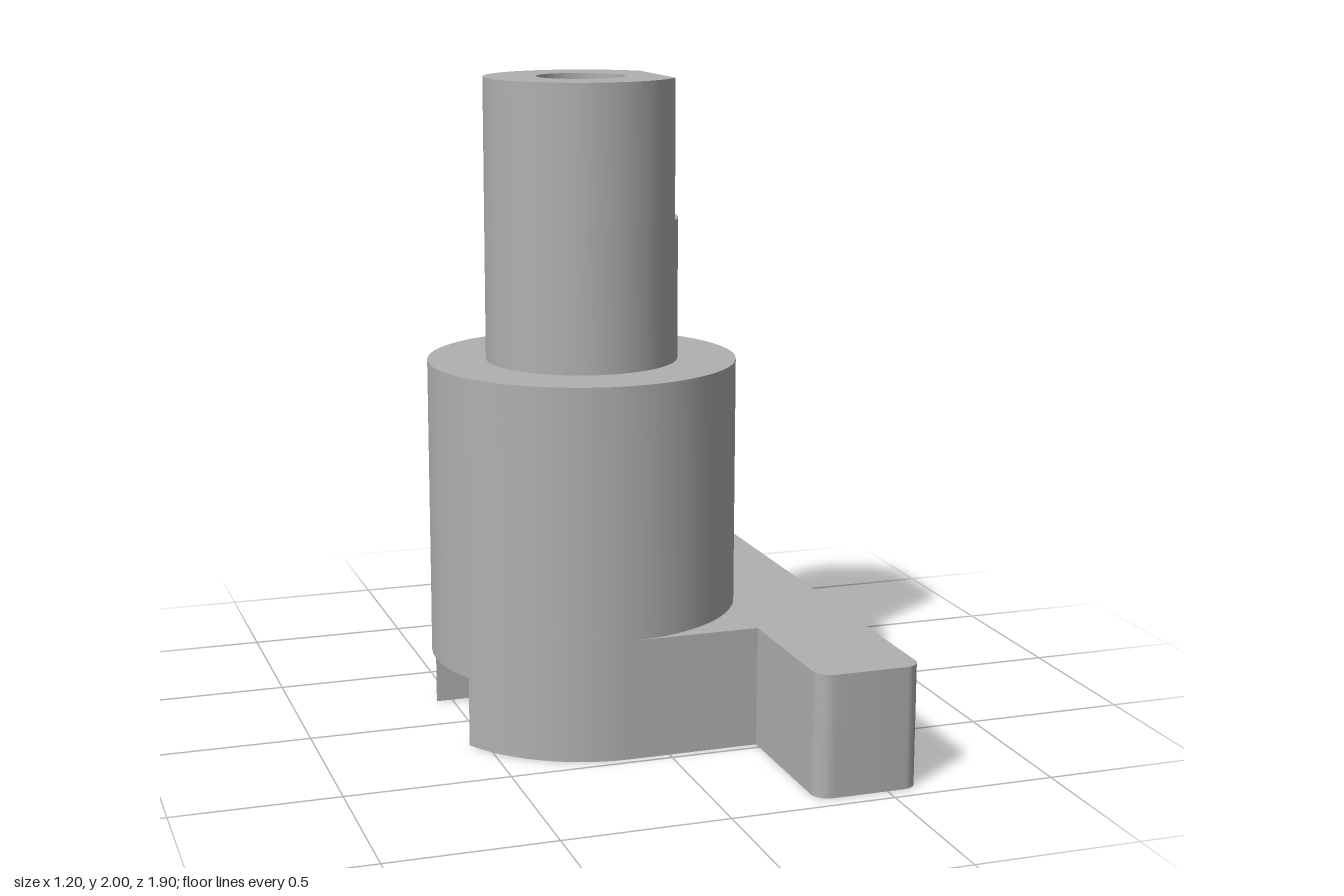
import * as THREE from 'three';
import { toCreasedNormals } from 'three/addons/utils/BufferGeometryUtils.js';

const CX = -0.125;          // axis of the turned part
const BODY_R = 0.475, SHAFT_R = 0.295, BORE_R = 0.135;
const BASE_TOP = 0.37, SLOT_TOP = 0.215, SLOT_HALF = 0.21;
const SHOULDER = 1.14, FLAT_Y = 1.575, TOP = 2, FLAT_X = 0.12;

const metal = new THREE.MeshStandardMaterial({ color: 0xb0b0b0 });
metal.name = 'grey metal';

function part(name, geometry) {
  const mesh = new THREE.Mesh(toCreasedNormals(geometry, 0.6), metal);
  mesh.name = name;
  return mesh;
}

// Extrude a plan outline upwards from y0 to y1
function slab(shape, y0, y1) {
  const g = new THREE.ExtrudeGeometry(shape, { depth: y1 - y0, bevelEnabled: false, curveSegments: 96 });
  return g.rotateX(-Math.PI / 2).translate(0, y0, 0);
}

// One half of the base outline, from depth 'inner' out to the bar's end
function halfOutline(inner) {
  const r = 0.05, end = 0.95, x0 = 0.28, x1 = 0.6;
  const s = new THREE.Shape();
  s.moveTo(x1, inner);
  s.lineTo(x1, end - r);
  s.absarc(x1 - r, end - r, r, 0, Math.PI / 2, false);
  s.lineTo(x0 + r, end);
  s.absarc(x0 + r, end - r, r, Math.PI / 2, Math.PI, false);
  s.lineTo(x0, BODY_R);
  s.lineTo(CX, BODY_R);
  s.absarc(CX, 0, BODY_R, Math.PI / 2, Math.PI - Math.asin(inner / BODY_R), false);
  return s.getPoints(32);
}
const mirror = (pts) => pts.map((p) => new THREE.Vector2(p.x, -p.y)).reverse();

export function createModel() {
  const group = new THREE.Group();
  group.name = 'slottedShaft';

  // T-shaped base above the slot, and the two feet beside it
  const half = halfOutline(0);
  const outline = [...half, ...mirror(half).slice(1, -1)];
  group.add(part('basePlate', slab(new THREE.Shape(outline), SLOT_TOP, BASE_TOP)));
  const foot = halfOutline(SLOT_HALF);
  group.add(part('backFoot', slab(new THREE.Shape(foot), 0, SLOT_TOP)));
  group.add(part('frontFoot', slab(new THREE.Shape(mirror(foot)), 0, SLOT_TOP)));

  // Turned body, lower shaft and blind bore
  const profile = [
    [BODY_R, BASE_TOP], [BODY_R, SHOULDER], [SHAFT_R, SHOULDER], [SHAFT_R, FLAT_Y],
    [BORE_R, FLAT_Y], [BORE_R, 1.2], [0, 1.2],
  ].map(([x, y]) => new THREE.Vector2(x, y));
  const body = part('body', new THREE.LatheGeometry(profile, 96));
  body.position.x = CX;
  group.add(body);

  // Upper shaft with a flat on its left side
  const a = Math.acos((FLAT_X - CX) / SHAFT_R);
  const d = new THREE.Shape();
  d.absarc(CX, 0, SHAFT_R, a, Math.PI * 2 - a, false);
  d.closePath();
  const bore = new THREE.Path();
  bore.absarc(CX, 0, BORE_R, 0, Math.PI * 2, true);
  d.holes.push(bore);
  group.add(part('flattedShaftEnd', slab(d, FLAT_Y, TOP)));

  return group;
}
